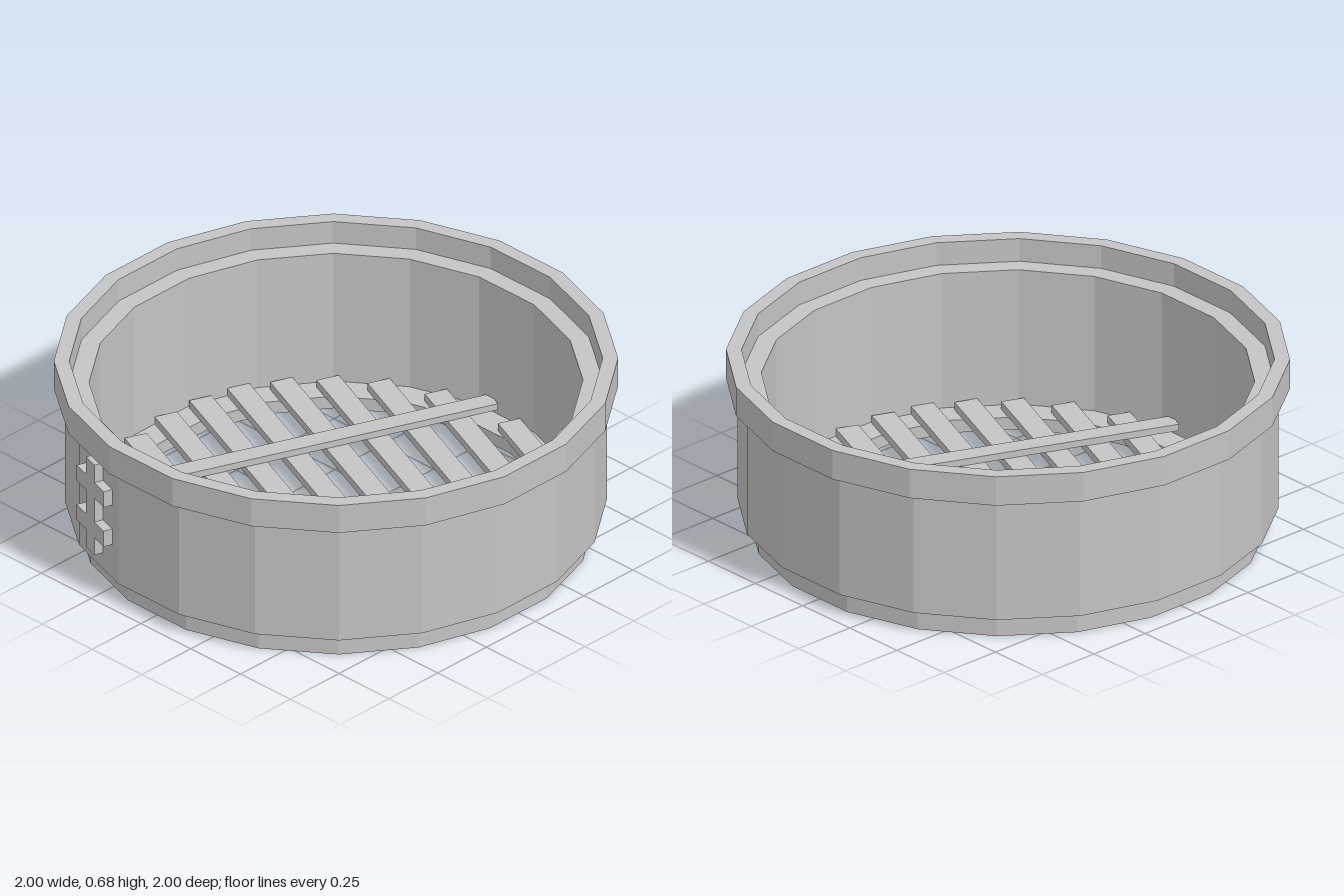
import * as THREE from 'three';

const SIDES = 20;
const STEP = (Math.PI * 2) / SIDES;

export function createModel() {
  const model = new THREE.Group();
  model.name = 'slattedBasket';
  const grey = new THREE.MeshStandardMaterial({ color: 0xc4c4c4, flatShading: true });
  grey.name = 'plain grey';

  const add = (parent, name, geometry, x = 0, y = 0, z = 0) => {
    const mesh = new THREE.Mesh(geometry, grey);
    mesh.name = name;
    mesh.position.set(x, y, z);
    parent.add(mesh);
  };

  // Twenty-sided rings; profile radii are measured to the middle of each flat side
  const ring = (name, profile) => {
    const points = profile.map(([r, y]) => new THREE.Vector2(r / Math.cos(STEP / 2), y));
    add(model, name, new THREE.LatheGeometry(points, SIDES, STEP / 2));
  };
  ring('baseRing', [[0.875, 0.05], [0.77, 0.05], [0.77, 0], [0.917, 0], [0.917, 0.085]]);
  ring('outerWall', [[0.917, 0.085], [0.96, 0.085], [0.96, 0.56]]);
  ring('rim', [[0.96, 0.56], [1, 0.56], [1, 0.675], [0.945, 0.675], [0.945, 0.585]]);
  ring('innerWall', [[0.945, 0.585], [0.875, 0.585], [0.875, 0.05]]);

  // Slatted floor, turned slightly about the vertical axis
  const floor = new THREE.Group();
  floor.name = 'slattedFloor';
  floor.rotation.y = THREE.MathUtils.degToRad(-22);
  model.add(floor);
  const slatWidth = 0.087;
  for (let i = -5; i <= 5; i++) {
    const x = i * 0.1585;
    const half = Math.sqrt(0.877 ** 2 - (Math.abs(x) + slatWidth / 2) ** 2);
    add(floor, 'slat', new THREE.BoxGeometry(slatWidth, 0.03, half * 2), x, 0.065, 0);
  }

  // Two bars lying across the slats
  for (const side of [-1, 1]) {
    add(floor, 'crossBar', new THREE.BoxGeometry(1.574, 0.026, 0.075), 0, 0.093, side * 0.387);
  }

  // Raised ornament on one wall panel: an upright crossed by two bars
  const half = [
    [0.033, -0.188], [0.033, -0.115], [0.105, -0.115], [0.105, -0.05], [0.033, -0.05],
    [0.033, 0.05], [0.105, 0.05], [0.105, 0.115], [0.033, 0.115], [0.033, 0.188],
  ];
  const outline = [...half, ...half.map(([x, y]) => [-x, y]).reverse()];
  const shape = new THREE.Shape(outline.map(([x, y]) => new THREE.Vector2(x, y)));
  const panel = new THREE.Group();
  panel.name = 'ornamentPanel';
  panel.rotation.y = Math.atan2(-Math.cos(STEP), -Math.sin(STEP));
  model.add(panel);
  add(panel, 'raisedOrnament',
    new THREE.ExtrudeGeometry(shape, { depth: 0.04, bevelEnabled: false }), 0, 0.34, 0.955);

  return model;
}
